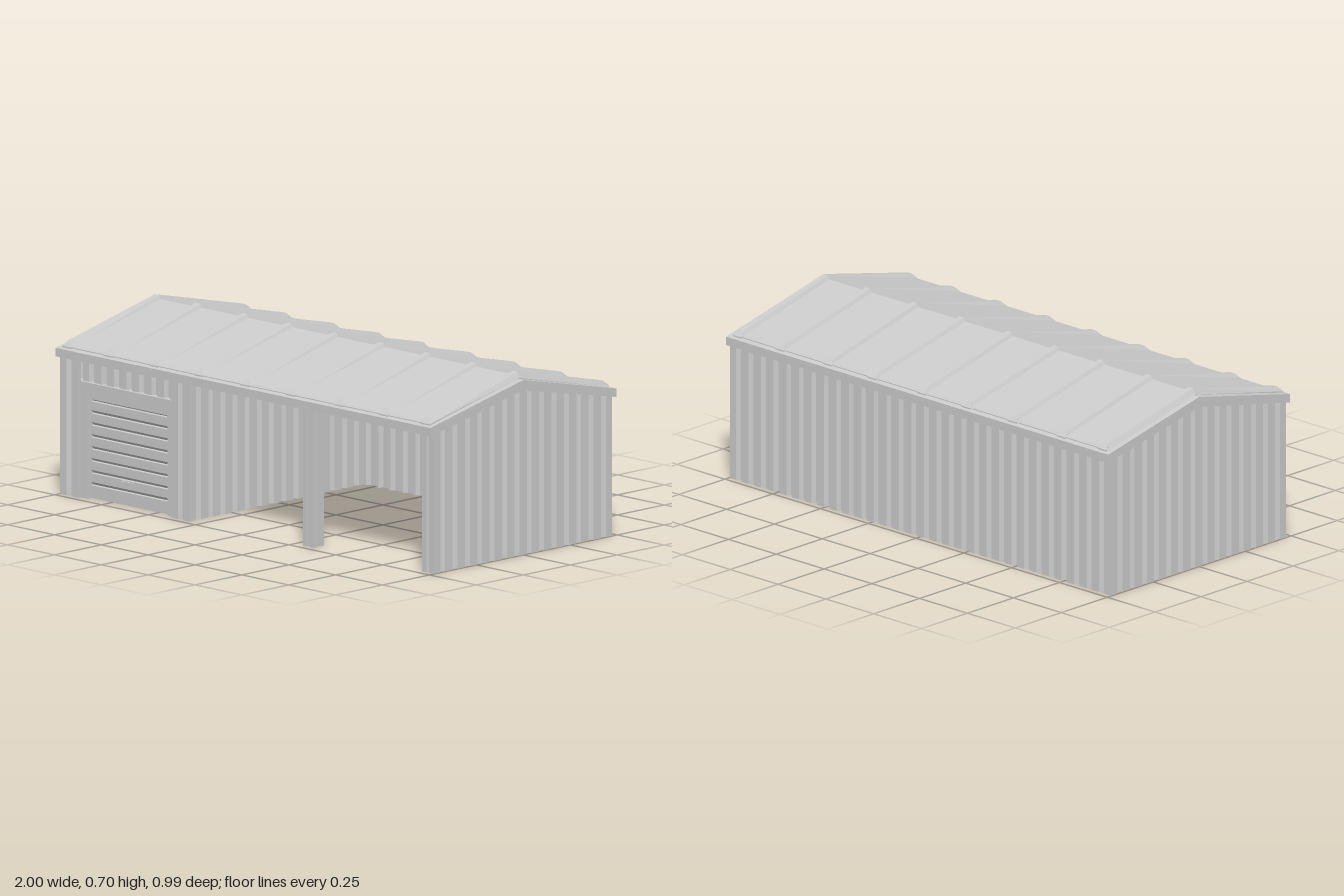
import * as THREE from 'three';

const mat = new THREE.MeshStandardMaterial({ color: 0xcccccc, flatShading: true, side: THREE.DoubleSide });

export function createModel() {
  const model = new THREE.Group();

  const add = (name, geometry) => {
    const mesh = new THREE.Mesh(geometry, mat);
    mesh.name = name;
    model.add(mesh);
    return mesh;
  };

  const box = (name, x0, x1, y0, y1, z0, z1) => {
    const mesh = add(name, new THREE.BoxGeometry(x1 - x0, y1 - y0, z1 - z0));
    mesh.position.set((x0 + x1) / 2, (y0 + y1) / 2, (z0 + z1) / 2);
  };

  // Solid from a closed outline, drawn in x and y, extruded along z
  const extrude = (points, depth) => new THREE.ExtrudeGeometry(
    new THREE.Shape(points.map(([x, y]) => new THREE.Vector2(x, y))), { depth, bevelEnabled: false });

  // Outline given as (z, y), centred across x
  const extrudeAcross = (points, width) => extrude(points, width).translate(0, 0, -width / 2)
    .rotateY(-Math.PI / 2).scale(1, 1, 1);

  // Height inside the roof slab where every wall ends
  const roofHeight = (z) => 0.655 - 0.21 * Math.abs(z);

  // Upright sheet with folded grooves along a plan line, flat at both corners
  const sheet = (name, [ax, az], [bx, bz], bottom = 0) => {
    const length = Math.hypot(bx - ax, bz - az);
    const dx = (bx - ax) / length, dz = (bz - az) / length;
    const margin = 0.015;
    const count = Math.max(1, Math.round((length - 2 * margin) / 0.065));
    const pitch = (length - 2 * margin) / count;
    const profile = [[0, 0]];
    for (let i = 0; i < count; i++) {
      for (const [t, depth] of [[0.28, 0], [0.43, 0.016], [0.57, 0.016], [0.72, 0]]) {
        profile.push([margin + (i + t) * pitch, depth]);
      }
    }
    profile.push([length, 0]);
    const place = (s, d) => [ax + dx * s - dz * d, -(az + dz * s + dx * d)];
    const outer = profile.map(([s, d]) => place(s, d));
    const inner = profile.map(([s, d]) => place(s, d + 0.01)).reverse();
    const geo = extrude([...outer, ...inner], 1).rotateX(-Math.PI / 2);
    const p = geo.attributes.position;
    for (let i = 0; i < p.count; i++) p.setY(i, p.getY(i) > 0.5 ? roofHeight(p.getZ(i)) : bottom);
    geo.computeVertexNormals();
    add(name, geo);
  };

  // Solid with a gable profile, given as half profiles (z, y) from ridge to eave
  const gable = (top, bottom, width) => {
    const mirror = (half) => [...half.slice(1).reverse().map(([z, y]) => [-z, y]), ...half];
    return extrudeAcross([...mirror(top), ...mirror(bottom).reverse()], width);
  };

  // Outer walls
  const X = 0.997, Z = 0.476;
  sheet('backWall', [-X, -Z], [X, -Z]);
  sheet('rightEndWall', [-X, Z], [-X, -Z]);
  sheet('leftEndWall', [X, -Z], [X, Z]);
  sheet('leftFrontReturn', [X, Z], [0.935, Z]);

  // Closed bay: partition and front wall around the door
  sheet('partitionWall', [-0.305, -0.46], [-0.305, Z]);
  sheet('frontWallBesideDoor', [-0.305, Z], [-0.4, Z]);
  sheet('frontWallOuterStrip', [-0.895, Z], [-X, Z]);
  sheet('frontWallAboveDoor', [-0.4, 0.455], [-0.895, 0.455], 0.42);

  // Inner stiffeners at the open wall ends
  box('wallEndStud', 0.945, 0.972, 0, 0.55, 0.435, 0.455);
  box('partitionEndStud', -0.36, -0.33, 0, 0.55, 0.435, 0.455);

  // Post in the open bay, fluted on all four sides
  const c = 0.028, n = 0.01, d = 0.018;
  const outline = [];
  for (let k = 0; k < 4; k++) {
    const cos = Math.round(Math.cos(k * Math.PI / 2)), sin = Math.round(Math.sin(k * Math.PI / 2));
    for (const [x, y] of [[-c, -c], [-n, -c], [-n, -d], [n, -d], [n, -c]]) {
      outline.push([x * cos - y * sin, x * sin + y * cos]);
    }
  }
  add('post', extrude(outline, 0.555).rotateX(-Math.PI / 2)).position.set(0.325, 0, 0.445);

  // Roller door frame
  box('doorHeader', -0.92, -0.385, 0.415, 0.45, 0.425, 0.468);
  for (const x of [-0.885, -0.415]) box('doorJamb', x - 0.022, x + 0.022, 0, 0.415, 0.425, 0.462);
  box('doorLintel', -0.865, -0.435, 0.385, 0.415, 0.425, 0.455);

  // Roller door: one folded sheet with a sloping groove between slats
  const face = 0.442;
  const folds = [[face, 0]];
  for (let i = 0; i < 8; i++) {
    const y = 0.055 + i * 0.0462;
    folds.push([face, y - 0.006], [face - 0.014, y - 0.005], [face, y + 0.007]);
  }
  folds.push([face, 0.39]);
  const back = folds.map(([z, y]) => [z - 0.008, y]).reverse();
  add('rollerDoor', extrudeAcross([...folds, ...back], 0.43)).position.x = -0.65;
  box('doorHandle', -0.69, -0.63, 0.084, 0.094, 0.45, 0.458);
  for (const x of [-0.687, -0.633]) box('handleMount', x - 0.004, x + 0.004, 0.084, 0.094, 0.438, 0.452);

  // Roof slab with fascia, and the panel lying on it
  add('roofSlab', gable([[0, 0.675], [0.495, 0.566]], [[0, 0.635], [0.495, 0.533]], 2));
  add('roofPanel', gable([[0, 0.688], [0.468, 0.58], [0.474, 0.574]], [[0, 0.665], [0.474, 0.56]], 1.93));

  // Standing ribs, narrower at the top and slightly out of line
  const ribs = [[-0.955, 0], [-0.737, 0.012], [-0.487, -0.006], [-0.25, -0.012], [-0.007, 0.006],
    [0.242, -0.01], [0.488, 0.014], [0.733, 0.006], [0.955, 0.006]];
  for (const [x, lean] of ribs) {
    const geo = gable([[0, 0.702], [0.462, 0.595], [0.481, 0.575]], [[0, 0.68], [0.481, 0.57]], 0.048);
    const p = geo.attributes.position;
    for (let i = 0; i < p.count; i++) {
      const z = p.getZ(i);
      const raised = p.getY(i) > 0.689 - 0.222 * Math.abs(z);
      p.setX(i, p.getX(i) * (raised ? 0.5 : 1) + lean * z);
    }
    geo.computeVertexNormals();
    add('roofRib', geo).position.x = x;
  }

  return model;
}
